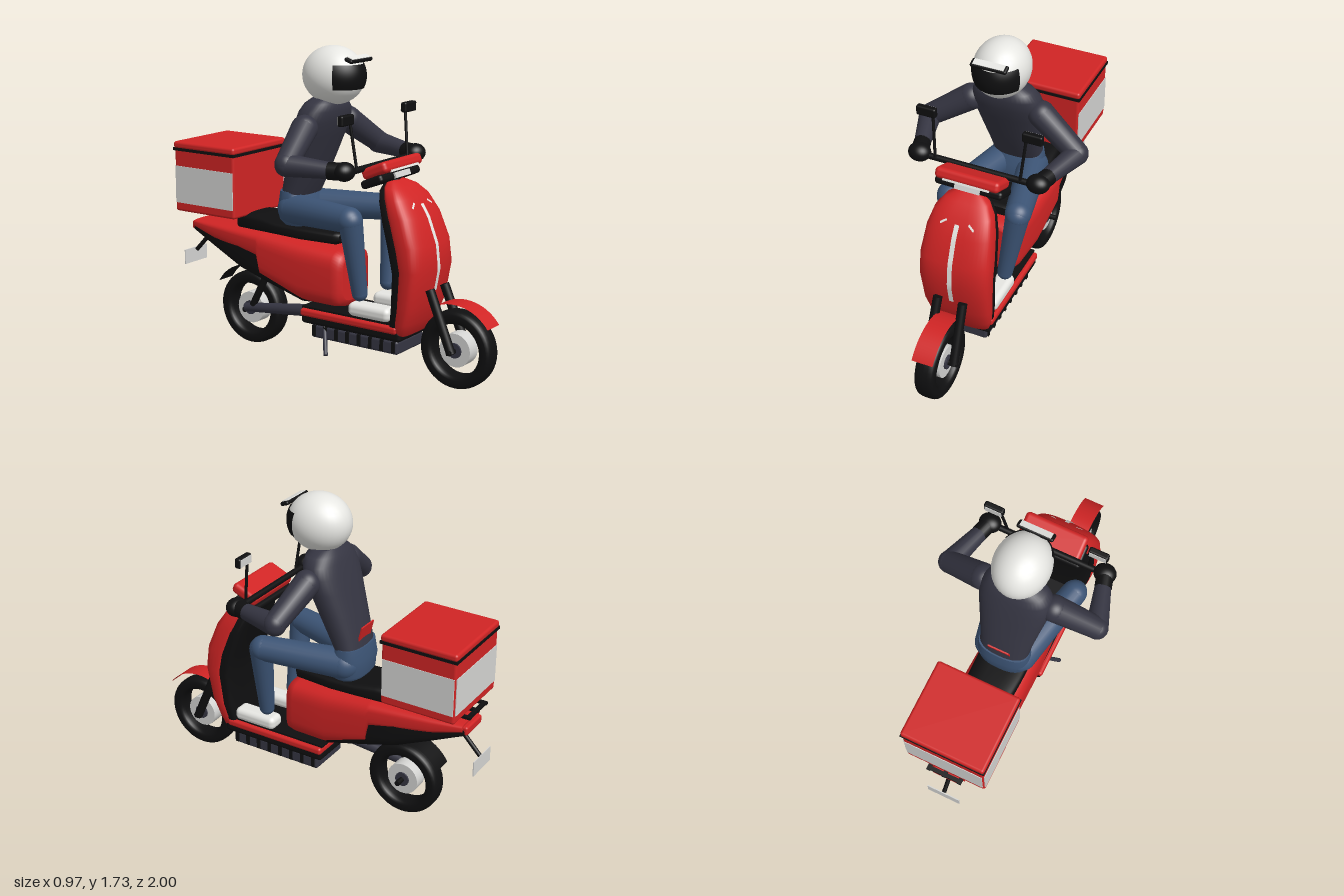
import * as THREE from 'three';
import { RoundedBoxGeometry } from 'three/addons/geometries/RoundedBoxGeometry.js';

const V = (x, y, z) => new THREE.Vector3(x, y, z);
const lerp = THREE.MathUtils.lerp;

function paint(name, color) {
  const m = new THREE.MeshStandardMaterial({ color, side: THREE.DoubleSide });
  m.name = name;
  return m;
}

// Closed superellipse ring in the plane across an axis ('y' or 'z')
function ring(axis, at, halfX, lo, hi, n) {
  const pts = [], mid = (lo + hi) / 2, half = (hi - lo) / 2, N = 40;
  const p = c => Math.sign(c) * Math.pow(Math.abs(c), 2 / n);
  for (let i = 0; i < N; i++) {
    const t = (i / N) * Math.PI * 2;
    const u = halfX * p(Math.cos(t)), v = mid + half * p(Math.sin(t));
    pts.push(axis === 'y' ? V(u, at, v) : V(u, v, at));
  }
  return pts;
}

// Skin over rings with flat end caps; y rings go up, z rings go backwards
function loft(rings) {
  const pos = [], idx = [], N = rings[0].length;
  rings.forEach(r => r.forEach(p => pos.push(p.x, p.y, p.z)));
  for (let i = 0; i < rings.length - 1; i++) for (let j = 0; j < N; j++) {
    const a = i * N + j, b = i * N + (j + 1) % N;
    idx.push(a, a + N, b, b, a + N, b + N);
  }
  [rings[0], rings[rings.length - 1]].forEach((r, end) => {
    const c = r.reduce((s, p) => s.add(p), V(0, 0, 0)).divideScalar(N), o = pos.length / 3;
    pos.push(c.x, c.y, c.z);
    r.forEach(p => pos.push(p.x, p.y, p.z));
    for (let j = 0; j < N; j++) {
      const a = o + 1 + j, b = o + 1 + (j + 1) % N;
      end ? idx.push(o, b, a) : idx.push(o, a, b);
    }
  });
  const g = new THREE.BufferGeometry();
  g.setAttribute('position', new THREE.Float32BufferAttribute(pos, 3));
  g.setIndex(idx);
  g.computeVertexNormals();
  return g;
}

// Leg shield sections: height, half width, front z, back z
const SHIELD = [[.25, .13, .53, .47], [.27, .16, .56, .47], [.33, .175, .585, .475], [.43, .19, .625, .49],
  [.62, .2, .66, .5], [.75, .2, .645, .47], [.89, .185, .59, .425], [.98, .16, .53, .395],
  [1.03, .12, .475, .375], [1.06, .06, .42, .37]];

function shieldZ(x, y) {
  let i = 0;
  while (i < SHIELD.length - 2 && SHIELD[i + 1][0] < y) i++;
  const a = SHIELD[i], b = SHIELD[i + 1], t = (y - a[0]) / (b[0] - a[0]);
  const [w, f, k] = [1, 2, 3].map(c => lerp(a[c], b[c], t));
  return (f + k) / 2 + (f - k) / 2 * Math.pow(1 - Math.pow(Math.abs(x) / w, 3), 1 / 3);
}

export function createModel() {
  const root = new THREE.Group();
  const red = paint('red paint', 0xd02424), black = paint('black', 0x0f0f10), slate = paint('slate', 0x353542),
    denim = paint('denim', 0x3c5475), white = paint('white', 0xe6e6e2), grey = paint('light grey', 0xd4d4d2);

  const add = (name, geo, mat, x = 0, y = 0, z = 0, rx = 0) => {
    const m = new THREE.Mesh(geo, mat);
    m.name = name;
    m.position.set(x, y, z);
    m.rotation.x = rx;
    root.add(m);
    return m;
  };
  const box = (name, mat, w, h, d, x, y, z, rx = 0) => add(name, new THREE.BoxGeometry(w, h, d), mat, x, y, z, rx);
  const soft = (name, mat, w, h, d, r, x, y, z, rx = 0) =>
    add(name, new RoundedBoxGeometry(w, h, d, 3, r), mat, x, y, z, rx);
  const ball = (name, mat, x, y, z, rx, ry = rx, rz = rx) =>
    add(name, new THREE.SphereGeometry(1, 32, 24), mat, x, y, z).scale.set(rx, ry, rz);
  const rod = (name, mat, a, b, r1, r2 = r1) => {
    const d = b.clone().sub(a), m = add(name, new THREE.CylinderGeometry(r2, r1, d.length(), 20), mat);
    m.position.copy(a).lerp(b, .5);
    m.quaternion.setFromUnitVectors(V(0, 1, 0), d.normalize());
  };
  const limb = (name, mat, a, b, r1, r2) => {
    rod(name, mat, a, b, r1, r2);
    ball(name + 'Start', mat, a.x, a.y, a.z, r1);
    ball(name + 'End', mat, b.x, b.y, b.z, r2);
  };

  // Wheels with open rims, hubs and fenders
  const tyre = [];
  for (let i = 0; i <= 24; i++) {
    const t = (i / 24) * Math.PI * 2, p = c => Math.sign(c) * Math.pow(Math.abs(c), .65);
    tyre.push(new THREE.Vector2(.174 + .036 * p(Math.cos(t)), .056 * p(Math.sin(t))));
  }
  const wheel = (name, z, fenderMat, from, to) => {
    const parts = [[name + 'Tyre', new THREE.LatheGeometry(tyre, 48), black],
      [name + 'Hub', new THREE.CylinderGeometry(.09, .09, .08, 32), grey],
      [name + 'HubCore', new THREE.CylinderGeometry(.04, .04, .1, 20), slate],
      [name + 'Axle', new THREE.CylinderGeometry(.015, .015, .2, 12), black],
      [name + 'Fender', new THREE.CylinderGeometry(.25, .25, .12, 24, 1, true, from, to - from), fenderMat]];
    parts.forEach(([n, g, m]) => add(n, g.rotateZ(Math.PI / 2), m, 0, .21, z));
  };
  wheel('front', .79, red, .64, 2.18);
  wheel('rear', -.555, black, .95, 2.6);

  // Leg shield, lining and front trim
  add('legShield', loft(SHIELD.map(([y, w, f, b]) => ring('y', y, w, b, f, 3))), red);
  add('shieldLining', loft(SHIELD.map(([y, w, f, b]) => ring('y', y - .02, w - .008, b - .028, (f + b) / 2, 3.5))), black);
  const decal = (name, w, h, x, y, tilt) => {
    const g = new THREE.PlaneGeometry(w, h, 2, 20).rotateZ(tilt).translate(x, y, 0), p = g.attributes.position;
    for (let i = 0; i < p.count; i++) p.setZ(i, shieldZ(p.getX(i), p.getY(i)) + .005);
    g.computeVertexNormals();
    add(name, g, white);
  };
  decal('shieldStripe', .026, .45, 0, .725, 0);
  for (const s of [-1, 1]) decal('shieldTick', .04, .01, s * .078, .95, -s * .6);

  // Headlight and handlebar
  soft('handlebarCover', red, .36, .06, .16, .022, 0, 1.125, .37, -.4);
  soft('handlebarUnderside', black, .38, .045, .14, .018, 0, 1.068, .362, -.4);
  box('lightStrip', white, .26, .012, .008, 0, 1.128, .447, -.4);
  box('headlight', grey, .14, .03, .02, 0, 1.092, .428, -.4);
  rod('steeringColumn', black, V(0, .95, .41), V(0, 1.1, .35), .045);
  rod('handlebar', black, V(-.37, 1.13, .3), V(.37, 1.13, .3), .017);

  // Floor and ribbed battery
  soft('floorBase', black, .33, .06, .64, .02, 0, .26, .21);
  soft('floorSides', red, .345, .042, .62, .015, 0, .292, .2);
  box('floorMat', black, .3, .012, .6, 0, .317, .19);
  soft('batteryCase', slate, .26, .075, .56, .015, 0, .185, .215);
  for (let i = 0; i < 8; i++) box('batteryRib', black, .275, .06, .02, 0, .19, -.04 + i * .073);
  rod('sideStand', slate, V(-.12, .22, .02), V(-.2, .09, .085), .012);

  // Rear body: black core with red side panels; z, half width, bottom, top
  const core = [[.11, .13, .34, .61], [-.13, .163, .328, .65], [-.39, .168, .405, .68], [-.55, .155, .45, .68],
    [-.75, .12, .535, .68], [-.93, .085, .615, .67]];
  const panels = [[.135, .11, .37, .61], [.125, .145, .34, .635], [.08, .158, .333, .65], [-.13, .17, .336, .665],
    [-.39, .175, .425, .69], [-.41, .175, .54, .69], [-.75, .132, .595, .69], [-.92, .1, .64, .685]];
  add('bodyCore', loft(core.map(([z, w, b, t]) => ring('z', z, w, b, t, 4))), black);
  add('bodyPanels', loft(panels.map(([z, w, b, t]) => ring('z', z, w, b, t, 4))), red);
  const seat = [[.095, .09, .69, .74], [.07, .12, .675, .75], [-.15, .14, .675, .755], [-.3, .14, .68, .76],
    [-.42, .135, .68, .78], [-.58, .12, .68, .78], [-.61, .08, .7, .765]];
  add('seat', loft(seat.map(([z, w, b, t]) => ring('z', z, w, b, t, 3.5))), black);
  soft('tailLight', red, .17, .05, .04, .012, 0, .65, -.925);
  rod('plateArm', black, V(0, .6, -.87), V(0, .48, -.985), .012);
  box('rearPlate', grey, .19, .085, .006, 0, .45, -.996);
  rod('swingArm', slate, V(-.09, .285, -.08), V(-.09, .225, -.55), .035, .025);
  rod('rearShock', black, V(-.1, .48, -.37), V(-.1, .25, -.49), .02);

  // Delivery box on its rack
  for (const s of [-1, 0, 1]) box('rackRail', black, .022, .014, .56, s * .09, .742, -.685);
  for (const z of [-.5, -.7, -.95]) box('rackBar', black, .2, .014, .022, 0, .742, z);
  soft('deliveryBox', red, .46, .36, .425, .015, 0, .94, -.725);
  box('lidSeal', black, .472, .016, .437, 0, 1.115, -.725);
  soft('boxLid', red, .47, .04, .435, .015, 0, 1.138, -.725);
  for (const s of [-1, 1]) box('sidePanel', grey, .006, .21, .41, s * .23, .915, -.725);
  box('backPanel', grey, .44, .21, .006, 0, .915, -.938);

  // Rider torso and hips; height, half width, back z, front z
  const torso = [[.88, .135, -.305, -.16], [1, .145, -.28, -.1], [1.12, .165, -.245, -.05], [1.25, .188, -.205, .0],
    [1.33, .198, -.178, .03], [1.39, .185, -.155, .04], [1.43, .15, -.135, .035], [1.455, .09, -.11, .01]];
  add('jacket', loft(torso.map(([y, w, b, f]) => ring('y', y, w, b, f, 2.4))), slate);
  const hips = [[.75, .12, -.29, -.12], [.78, .15, -.31, -.1], [.87, .155, -.312, -.12], [.94, .142, -.3, -.15]];
  add('hips', loft(hips.map(([y, w, b, f]) => ring('y', y, w, b, f, 2.5))), denim);
  box('backPatch', red, .12, .12, .008, 0, 1.0, -.283, -.24);

  // Helmet, visor and peak
  rod('neck', slate, V(0, 1.4, -.05), V(0, 1.5, -.02), .07);
  ball('helmet', white, 0, 1.575, -.003, .15, .157, .177);
  const visor = new THREE.SphereGeometry(1, 32, 12, Math.PI / 2 - 1.1, 2.2, 1.14, .85);
  add('visor', visor, black, 0, 1.575, .001).scale.set(.152, .158, .18);
  soft('peak', black, .2, .022, .05, .01, 0, 1.668, .155, .35);
  box('peakTop', white, .17, .004, .036, 0, 1.68, .158, .35);

  // Mirrored arms, legs, fork legs and mirrors
  for (const s of [1, -1]) {
    const P = (x, y, z) => V(s * x, y, z);
    limb('upperArm', slate, P(.2, 1.31, -.05), P(.425, 1.16, 0), .072, .06);
    limb('forearm', slate, P(.425, 1.155, 0), P(.35, 1.14, .25), .06, .042);
    ball('glove', black, s * .335, 1.14, .3, .062, .05, .055);
    rod('gloveCuff', black, P(.36, 1.14, .22), P(.34, 1.14, .29), .046);
    limb('thigh', denim, P(.09, .84, -.21), P(.198, .855, .235), .085, .07);
    limb('shin', denim, P(.2, .85, .245), P(.135, .45, .26), .065, .042);
    soft('shoe', white, .105, .075, .26, .03, s * .12, .362, .33);
    rod('forkLeg', black, P(.078, .2, .79), P(.072, .52, .655), .025);
    rod('mirrorStem', black, P(.24, 1.14, .31), P(.26, 1.39, .28), .008);
    soft('mirror', black, .11, .055, .035, .01, s * .295, 1.395, .28);
    box('mirrorGlass', grey, .095, .042, .004, s * .295, 1.395, .262);
  }
  return root;
}
